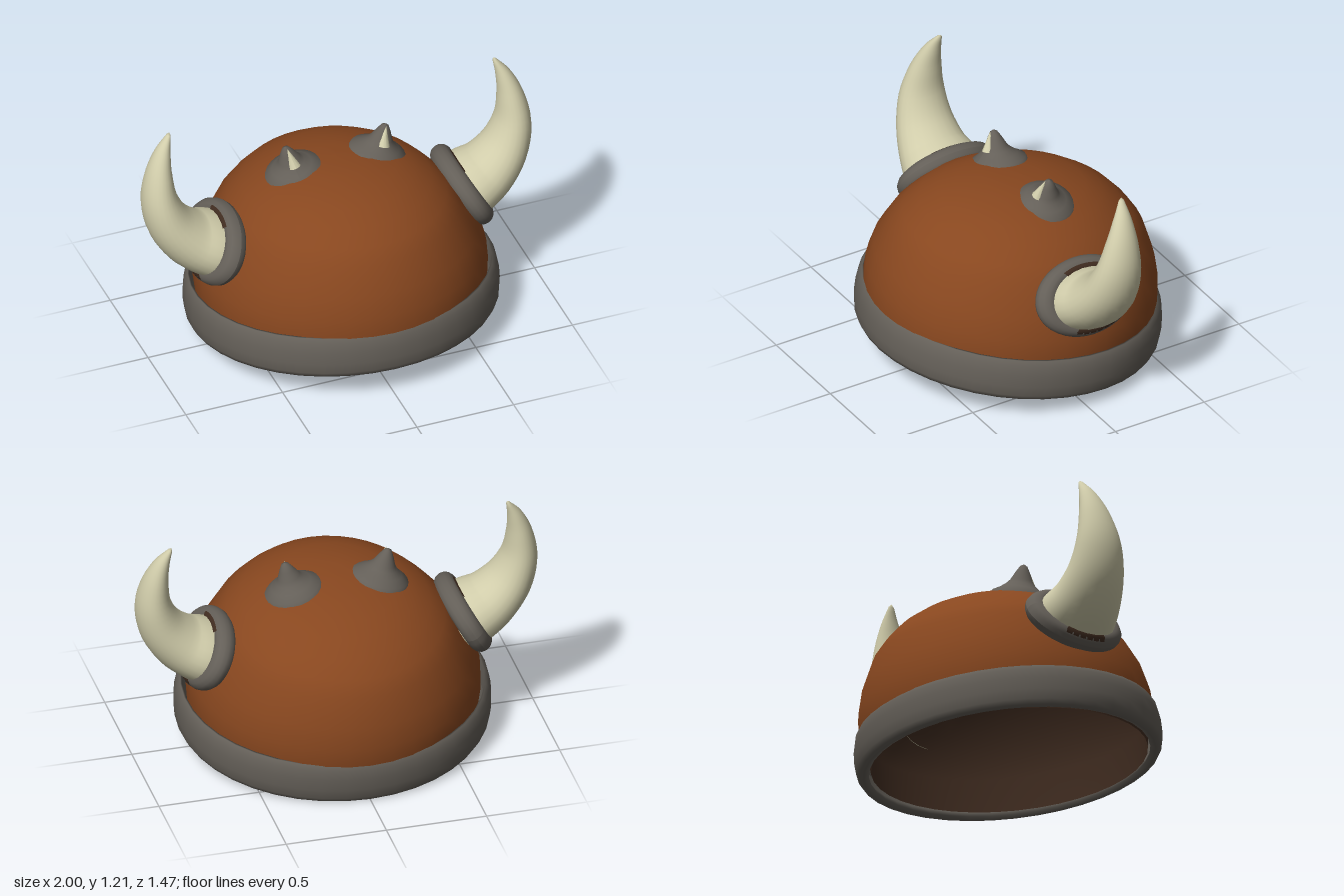
import * as THREE from 'three';

const paint = (name, color, side = THREE.FrontSide) => {
  const m = new THREE.MeshStandardMaterial({ color, side });
  m.name = name;
  return m;
};

const lathe = (pts, segments = 40) =>
  new THREE.LatheGeometry(pts.map(([r, y]) => new THREE.Vector2(r, y)), segments);

// Copy of a geometry reflected to the other side, with its faces turned back out
function mirrored(geometry) {
  const g = geometry.clone().scale(-1, 1, 1);
  const idx = g.index.array;
  for (let i = 0; i < idx.length; i += 3) [idx[i], idx[i + 1]] = [idx[i + 1], idx[i]];
  g.computeVertexNormals();
  return g;
}

// Curved horn lofted from oval sections: [x, y, z, half width, half depth]
function hornGeometry() {
  const sections = [
    [0.59, 0.535, -0.04, 0.155, 0.205], [0.68, 0.575, -0.045, 0.152, 0.202],
    [0.775, 0.63, -0.047, 0.135, 0.175], [0.865, 0.735, -0.055, 0.113, 0.146],
    [0.912, 0.87, -0.07, 0.089, 0.118], [0.908, 1.01, -0.09, 0.064, 0.083],
    [0.88, 1.12, -0.11, 0.038, 0.047], [0.843, 1.2, -0.128, 0.01, 0.014],
  ];
  const path = new THREE.CatmullRomCurve3(sections.map((s) => new THREE.Vector3(s[0], s[1], s[2])));
  const size = new THREE.CatmullRomCurve3(sections.map((s) => new THREE.Vector3(s[3], s[4], 0)));
  const rows = 28, sides = 24, pos = [], idx = [];
  for (let i = 0; i <= rows; i++) {
    const t = i / rows, p = path.getPoint(t), r = size.getPoint(t), d = path.getTangent(t);
    const len = Math.hypot(d.x, d.y);
    for (let j = 0; j < sides; j++) {
      const a = (j / sides) * Math.PI * 2, w = Math.cos(a) * r.x;
      pos.push(p.x - (d.y / len) * w, p.y + (d.x / len) * w, p.z + Math.sin(a) * r.y);
    }
  }
  for (let i = 0; i < rows; i++) {
    for (let j = 0; j < sides; j++) {
      const a = i * sides + j, b = i * sides + ((j + 1) % sides);
      idx.push(a, b, a + sides, b, b + sides, a + sides);
    }
  }
  const tip = pos.length / 3, last = rows * sides;
  pos.push(0.838, 1.213, -0.13);
  for (let j = 0; j < sides; j++) idx.push(last + j, last + ((j + 1) % sides), tip);
  const g = new THREE.BufferGeometry();
  g.setAttribute('position', new THREE.Float32BufferAttribute(pos, 3));
  g.setIndex(idx);
  g.computeVertexNormals();
  return g;
}

export function createModel() {
  const leather = paint('leather brown', 0x88471f);
  const iron = paint('iron grey', 0x645f58);
  const ivory = paint('ivory', 0xd0ccaa);
  const lining = paint('dark lining', 0x402c20, THREE.DoubleSide);
  const model = new THREE.Group();
  model.name = 'hornedHelmet';

  const add = (parent, name, geometry, material) => {
    const mesh = new THREE.Mesh(geometry, material);
    mesh.name = name;
    parent.add(mesh);
  };
  const addPair = (name, geometry, material) => {
    add(model, name + 'Left', geometry, material);
    add(model, name + 'Right', mirrored(geometry), material);
  };

  // Cap and rim lean back together
  const cap = new THREE.Group();
  cap.name = 'cap';
  cap.position.set(0, 0.074, 0.008);
  cap.rotation.x = -0.107;
  model.add(cap);

  // Dome, narrower across towards the crown
  const dome = lathe([
    [0.695, 0.02], [0.713, 0.2], [0.708, 0.3], [0.685, 0.41], [0.63, 0.55], [0.575, 0.62],
    [0.5, 0.69], [0.41, 0.744], [0.32, 0.782], [0.2, 0.812], [0.1, 0.824], [0, 0.826],
  ]);
  const p = dome.attributes.position;
  for (let i = 0; i < p.count; i++) {
    const t = THREE.MathUtils.smoothstep(p.getY(i), 0.3, 0.65);
    p.setX(i, p.getX(i) * (1 - 0.09 * t));
  }
  add(cap, 'dome', dome, leather);
  add(cap, 'innerLining', dome.clone().scale(0.965, 0.97, 0.965), lining);

  // Rolled rim band
  const band = lathe([
    [0.71, 0.1], [0.695, 0.035], [0.685, 0.01], [0.71, 0], [0.732, 0.006], [0.745, 0.03],
    [0.75, 0.08], [0.748, 0.14], [0.738, 0.188], [0.722, 0.212], [0.715, 0.215], [0.71, 0.1],
  ]);
  add(cap, 'rimBand', band.scale(1.026, 1, 0.98), iron);

  // Horns with their oval collars
  addPair('horn', hornGeometry(), ivory);
  const seat = (g) =>
    g.scale(1.13, 0.83, 1).rotateY(Math.PI / 2).rotateZ(Math.PI / 6).translate(0.64, 0.568, -0.042);
  addPair('hornCollar', seat(new THREE.TorusGeometry(0.18, 0.053, 14, 40)), iron);
  const socket = new THREE.CylinderGeometry(0.175, 0.175, 0.03, 32).rotateX(Math.PI / 2);
  addPair('hornSocket', seat(socket.translate(0, 0, 0.02)), lining);

  // Dark worn patches on the outward face of each collar, below and above the horn
  const patch = (radius, middle, spread) => seat(
    new THREE.TorusGeometry(radius, 0.046, 14, 14, spread).rotateZ(middle - spread / 2).translate(0, 0, 0.012),
  );
  addPair('collarPatchLower', patch(0.179, -Math.PI / 2, 0.95), lining);
  addPair('collarPatchUpper', patch(0.168, Math.PI / 2, 0.95), lining);

  // Flared studs on the crown, each with a sliver of ivory on its front
  const onCrown = (g) => g.rotateZ(-0.27).translate(0.22, 0.862, -0.078);
  const stud = lathe([
    [0.15, -0.035], [0.138, 0.002], [0.1, 0.025], [0.07, 0.05], [0.055, 0.07],
    [0.036, 0.11], [0.018, 0.142], [0, 0.152],
  ], 24);
  addPair('stud', onCrown(stud), iron);
  const sliver = new THREE.ConeGeometry(0.032, 0.1, 12).rotateX(-0.25).translate(-0.004, 0.1, 0.033);
  addPair('studInlay', onCrown(sliver), ivory);

  return model;
}
